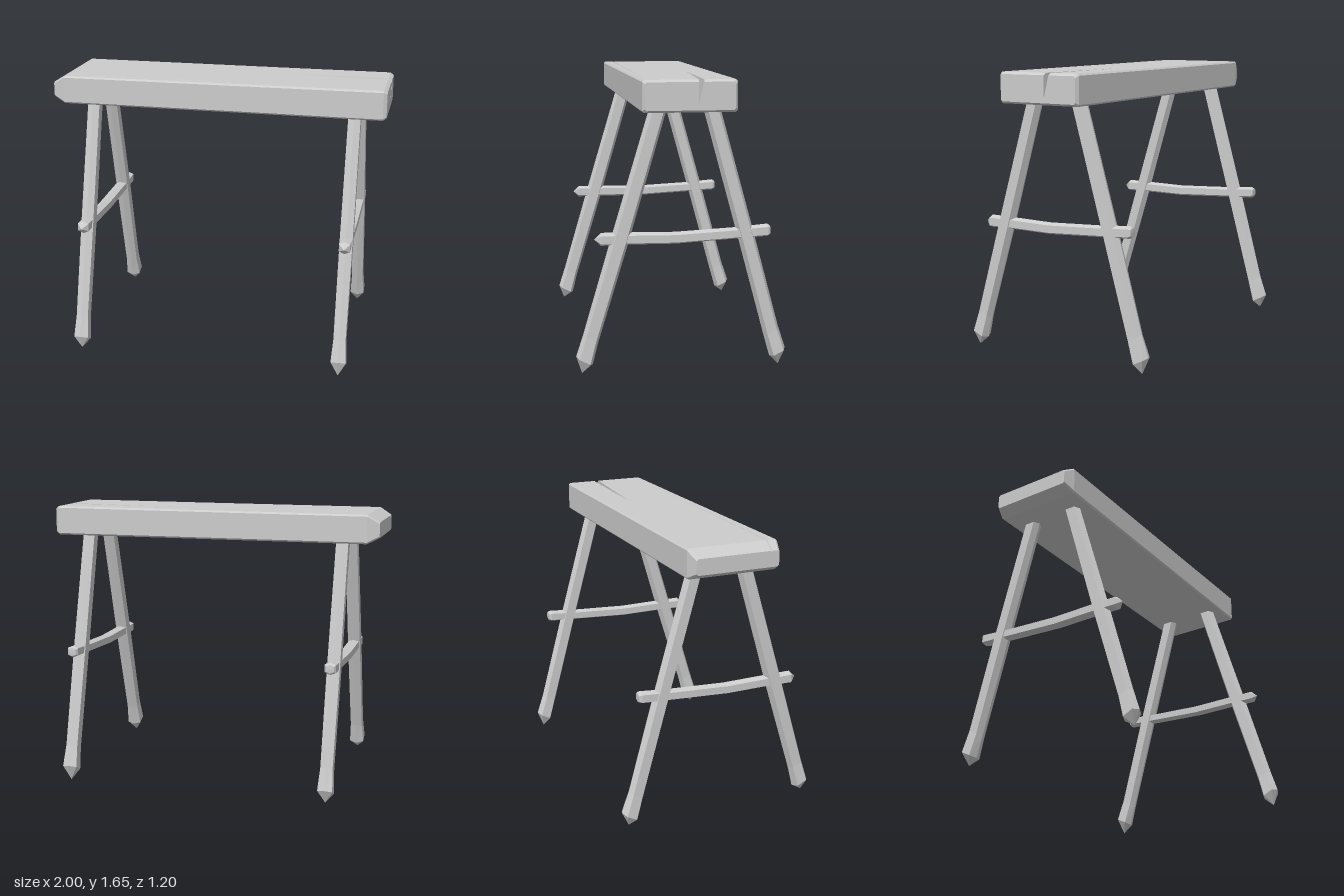
import * as THREE from 'three';

const wood = new THREE.MeshStandardMaterial({ color: 0xcccccc, flatShading: true });
wood.name = 'bare grey wood';

// Skin a row of matching rings, each an array of Vector3
function loft(rings, name, caps = []) {
  const pos = [];
  const tri = (...pts) => pts.forEach(p => pos.push(p.x, p.y, p.z));
  for (let r = 0; r + 1 < rings.length; r++) {
    const a = rings[r], b = rings[r + 1], n = a.length;
    for (let i = 0; i < n; i++) {
      const j = (i + 1) % n;
      tri(a[i], a[j], b[j]);
      tri(a[i], b[j], b[i]);
    }
  }
  caps.forEach(t => tri(...t));
  const geo = new THREE.BufferGeometry();
  geo.setAttribute('position', new THREE.Float32BufferAttribute(pos, 3));
  geo.computeVertexNormals();
  const mesh = new THREE.Mesh(geo, wood);
  mesh.name = name;
  return mesh;
}

// Flat end of the seat, facing along sign * x
function endCap(ring, sign) {
  const outline = ring.map(p => new THREE.Vector2(p.z, p.y));
  return THREE.ShapeUtils.triangulateShape(outline, []).map(f => {
    const [a, b, c] = f.map(i => ring[i]);
    const nx = b.clone().sub(a).cross(c.clone().sub(a)).x;
    return nx * sign < 0 ? [a, c, b] : [a, b, c];
  });
}

// Plank with a split opening towards the left end and a long shallow groove
function seat() {
  // x, bottom, top, back z, front z, split z, split width, split depth, groove z, groove width
  const sections = [
    [-1.0, 1.515, 1.605, -0.255, 0.235, -0.11, 0, 0, 0.183, 0.01],
    [-0.93, 1.48, 1.648, -0.279, 0.256, -0.11, 0, 0, 0.187, 0.01],
    [0.29, 1.477, 1.649, -0.273, 0.249, -0.11, 0, 0, 0.206, 0.006],
    [0.85, 1.475, 1.65, -0.271, 0.247, -0.093, 0.025, 0.11, 0.215, 0],
    [0.98, 1.475, 1.65, -0.27, 0.246, -0.087, 0.03, 0.136, 0.217, 0],
    [1.0, 1.487, 1.638, -0.258, 0.234, -0.086, 0.031, 0.126, 0.217, 0],
  ];
  const bev = 0.01;
  const rings = sections.map(([x, y0, y1, zb, zf, sz, sw, sd, gz, gw]) => [
    [y1, zb + bev], [y1, sz], [y1 - sd, sz + sw], [y1, sz + sw],
    [y1, gz], [y1 - gw, gz + gw / 2], [y1, gz + gw],
    [y1, zf - bev], [y1 - bev, zf], [y0 + bev, zf], [y0, zf - bev],
    [y0, zb + bev], [y0 + bev, zb], [y1 - bev, zb],
  ].map(([y, z]) => new THREE.Vector3(x, y, z)));
  return loft(rings, 'seat', [...endCap(rings[0], -1), ...endCap(rings[5], 1)]);
}

// Six-sided section: [long axis, width] factors
const hex = [[1, 0], [0.62, 1], [-0.62, 1], [-1, 0], [-0.62, -1], [0.62, -1]];

// Splayed leg with a flared, pointed foot; side is +1 front, -1 back
function leg(x, side, tip) {
  // y, z, half depth, half width
  const path = side > 0
    ? [[1.52, 0.125, 0.043, 0.036], [0.75, 0.352, 0.046, 0.038], [0.2, 0.517, 0.043, 0.036], [0.075, 0.553, 0.047, 0.044], [tip, 0.568, 0, 0]]
    : [[1.52, -0.152, 0.042, 0.036], [0.75, -0.367, 0.043, 0.038], [0.2, -0.517, 0.043, 0.036], [0.075, -0.556, 0.046, 0.044], [tip, -0.562, 0, 0]];
  const rings = path.map(([y, z, d, w]) => hex.map(([l, s]) =>
    new THREE.Vector3(x - s * w, y + l * d * 0.5 * side, z + l * d)));
  return loft(rings, side > 0 ? 'frontLeg' : 'backLeg');
}

// Sagging cross rail running through both legs
function rail(x) {
  // z, y, half height, half width
  const path = [
    [0.493, 0.765, 0, 0], [0.455, 0.765, 0.037, 0.033], [0.3, 0.765, 0.035, 0.032],
    [0.04, 0.761, 0.034, 0.032], [-0.3, 0.778, 0.033, 0.032],
    [-0.485, 0.79, 0.036, 0.033], [-0.5, 0.79, 0.026, 0.024], [-0.502, 0.79, 0, 0],
  ];
  const rings = path.map(([z, y, h, w]) => hex.map(([l, s]) =>
    new THREE.Vector3(x + s * w, y + l * h, z)));
  return loft(rings, 'crossRail');
}

export function createModel() {
  const model = new THREE.Group();
  model.name = 'bench';
  model.add(seat());
  for (const [x, tip, name] of [[-0.775, 0.015, 'rightTrestle'], [0.812, 0.0, 'leftTrestle']]) {
    const trestle = new THREE.Group();
    trestle.name = name;
    trestle.add(leg(x, 1, tip), leg(x, -1, tip), rail(x));
    model.add(trestle);
  }
  return model;
}
